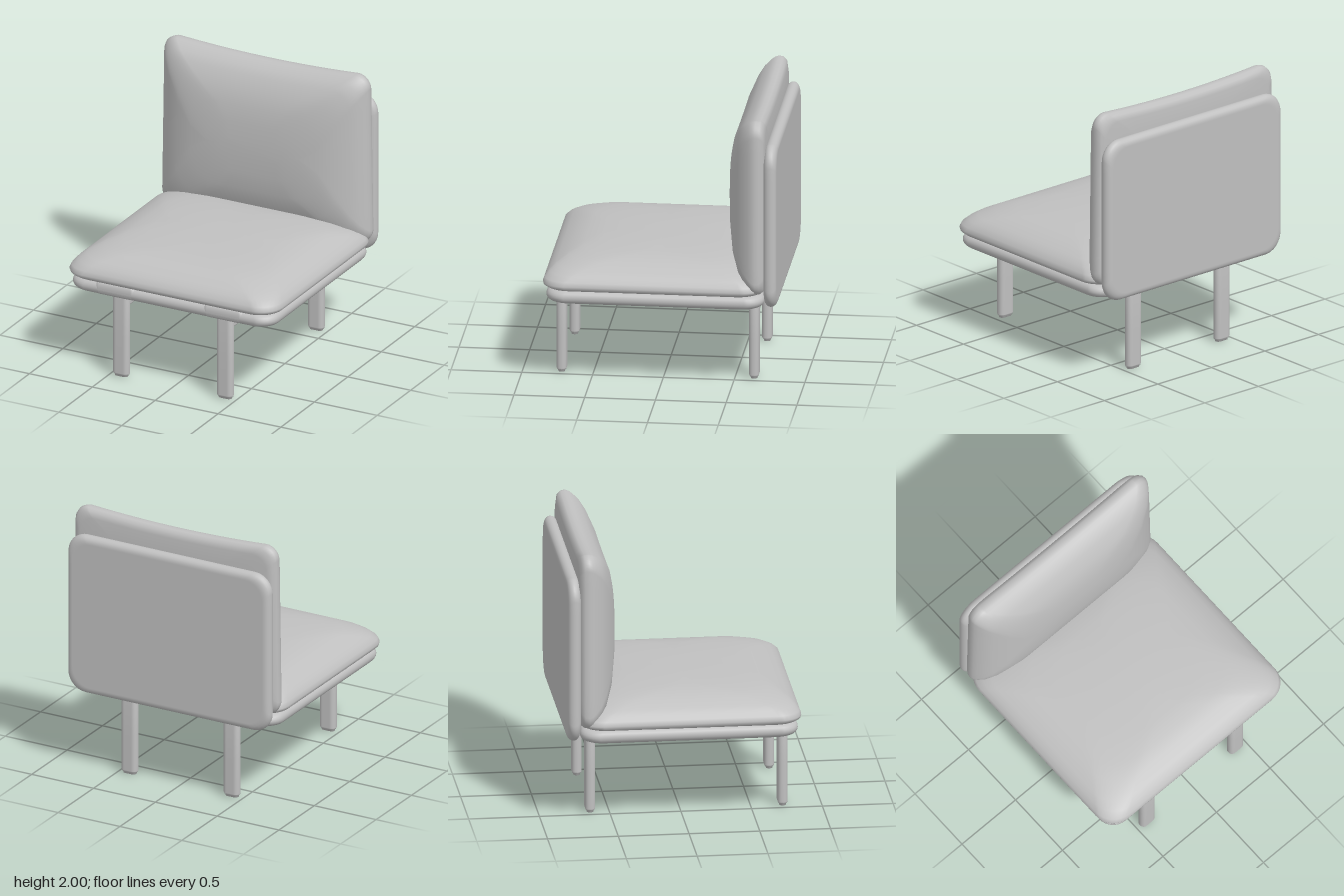
import * as THREE from 'three';

// Points of a rounded rectangle (half sizes w, h), sides subdivided, counter-clockwise
function outline(w, h, r) {
  const pts = [], arc = 8, side = 10;
  const corners = [[1, 1], [-1, 1], [-1, -1], [1, -1]];
  corners.forEach(([sx, sy], i) => {
    for (let k = 0; k <= arc; k++) {
      const a = (i + k / arc) * Math.PI / 2;
      pts.push([sx * (w - r) + r * Math.cos(a), sy * (h - r) + r * Math.sin(a)]);
    }
    const [nx, ny] = corners[(i + 1) % 4];
    const a = (i + 1) * Math.PI / 2;
    const ox = r * Math.cos(a), oy = r * Math.sin(a);
    for (let k = 1; k < side; k++) {
      const f = k / side;
      pts.push([
        (sx + (nx - sx) * f) * (w - r) + ox,
        (sy + (ny - sy) * f) * (h - r) + oy,
      ]);
    }
  });
  return pts;
}

// Closed padded form: rounded rectangles stacked along z by [inset, z] steps
function pad(w, h, r, profile, grow = 0.5, warp = (x, y, z) => [x, y, z]) {
  const pos = [], idx = [];
  let n = 0;
  for (const [inset, z] of profile) {
    const rw = w - inset, rh = h - inset;
    const ring = outline(rw, rh, Math.min(r + inset * grow, rw * 0.98, rh * 0.98));
    n = ring.length;
    for (const [x, y] of ring) pos.push(...warp(x, y, z));
  }
  const rows = profile.length;
  for (let j = 0; j < rows - 1; j++) {
    for (let i = 0; i < n; i++) {
      const a = j * n + i, b = j * n + (i + 1) % n;
      idx.push(a, b, b + n, a, b + n, a + n);
    }
  }
  const first = rows * n, last = first + 1, top = (rows - 1) * n;
  pos.push(...warp(0, 0, profile[0][1]), ...warp(0, 0, profile[rows - 1][1]));
  for (let i = 0; i < n; i++) {
    const k = (i + 1) % n;
    idx.push(first, k, i, last, top + i, top + k);
  }
  const g = new THREE.BufferGeometry();
  g.setAttribute('position', new THREE.Float32BufferAttribute(pos, 3));
  g.setIndex(idx);
  g.computeVertexNormals();
  return g;
}

// Profile of a flat slab with rounded rims between z0 and z1
function slab(z0, z1, e) {
  const p = [[e * 2.5, z0], [e * 1.2, z0]];
  for (let k = 0; k <= 10; k++) {
    const a = -Math.PI / 2 + Math.PI * k / 10;
    p.push([e - e * Math.cos(a), (z0 + z1) / 2 + (z1 - z0) / 2 * Math.sin(a)]);
  }
  p.push([e * 1.2, z1], [e * 2.5, z1]);
  return p;
}

export function createModel() {
  const group = new THREE.Group();
  const grey = new THREE.MeshStandardMaterial({ color: 0xc0c0c0 });
  grey.name = 'light grey';
  const add = (name, geometry, x = 0, y = 0, z = 0) => {
    const m = new THREE.Mesh(geometry, grey);
    m.name = name;
    m.position.set(x, y, z);
    group.add(m);
    return m;
  };
  const flat = (g) => g.rotateX(-Math.PI / 2); // profile axis becomes y

  // Seat cushion, domed on top
  add('seatCushion', flat(pad(0.835, 0.785, 0.16, [
    [0.3, 0.71], [0.06, 0.71], [0.02, 0.72], [0.004, 0.735], [0, 0.755], [0.01, 0.785],
    [0.04, 0.82], [0.08, 0.85], [0.16, 0.89], [0.25, 0.915], [0.37, 0.93], [0.55, 0.938], [0.7, 0.94],
  ])), 0, 0, 0.045);

  // Seat base and the recessed layer under the cushion
  add('seatBase', flat(pad(0.81, 0.77, 0.13, slab(0.615, 0.71, 0.045), 0)), 0, 0, 0.035);
  add('seatSpacer', new THREE.BoxGeometry(1.4, 0.03, 1.36), 0, 0.71, 0.035);

  // Back cushion: bulging front, dipped top edge, slightly narrower at the top
  add('backCushion', pad(0.822, 0.64, 0.1, [
    [0.2, -0.75], [0.06, -0.748], [0.02, -0.735], [0.004, -0.71], [0, -0.68], [0.006, -0.655],
    [0.02, -0.63], [0.05, -0.59], [0.1, -0.55], [0.2, -0.5], [0.32, -0.47], [0.45, -0.455], [0.58, -0.45],
  ], 0.4, (x, y, z) => {
    const dip = 0.026 * Math.max(0, 1 - (x / 0.72) ** 2) * Math.max(0, y / 0.64);
    return [x * (1 - 0.012 * y / 0.64), y - dip, z];
  }), 0, 1.36, 0);

  // Back panel
  add('backPanel', pad(0.82, 0.6, 0.14, slab(-0.83, -0.738, 0.045), 0), 0, 1.22, 0);

  // Legs, feet pads and side rails
  for (const s of [1, -1]) {
    const name = s > 0 ? 'left' : 'right';
    for (const [end, z] of [['Front', 0.725], ['Rear', -0.635]]) {
      add(name + end + 'Leg', flat(pad(0.062, 0.035, 0.032, [
        [0.02, 0], [0.012, 0.003], [0.01, 0.015], [0.003, 0.02], [0, 0.03], [0, 0.3], [0, 0.64],
      ], 0)), s * 0.413, 0, z);
    }
    // Mounting tab in the front edge of the base
    add(name + 'FrontTab', flat(pad(0.16, 0.05, 0.03, slab(0.622, 0.715, 0.02), 0)), s * 0.43, 0, 0.755);
    add(name + 'Rail', pad(0.025, 0.055, 0.015, [
      [0, -0.62], [0, 0], [0, 0.71],
    ], 0), s * 0.413, 0.567, 0);
  }
  return group;
}
